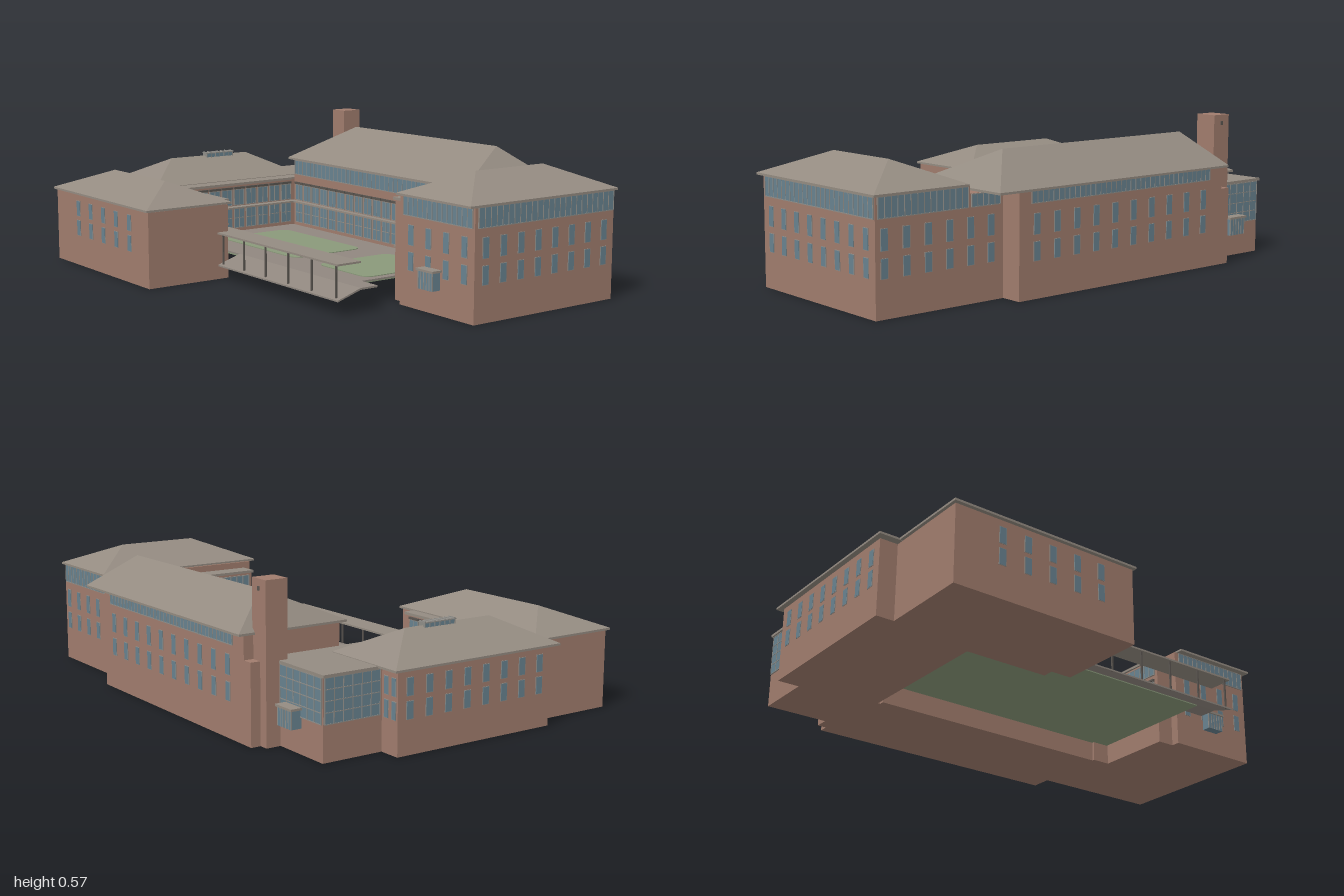
import * as THREE from 'three';

const mat = (name, color) => {
  const m = new THREE.MeshStandardMaterial({ color });
  m.name = name;
  return m;
};

export function createModel() {
  const root = new THREE.Group();
  root.name = 'courtyardBuilding';
  const brick = mat('brick', 0xa07c6d);
  const roofing = mat('roofing', 0x948b81);
  const glass = mat('glass', 0x68828f);
  const frame = mat('windowFrame', 0x8f8d88);
  const trim = mat('darkTrim', 0x5a5550);
  const lawn = mat('lawn', 0x8a997a);
  const paving = mat('paving', 0x90877f);

  const add = (name, geo, m, parent = root) => {
    const mesh = new THREE.Mesh(geo, m);
    mesh.name = name;
    parent.add(mesh);
    return mesh;
  };

  // Box given by its limits on each axis
  const box = (name, m, x0, x1, y0, y1, z0, z1, parent) => {
    const b = add(name, new THREE.BoxGeometry(x1 - x0, y1 - y0, z1 - z0), m, parent);
    b.position.set((x0 + x1) / 2, (y0 + y1) / 2, (z0 + z1) / 2);
    return b;
  };

  // Thin plate on a wall: axis is the wall's normal, u runs along the wall
  const plate = (name, m, axis, at, u0, u1, y0, y1, t, parent) =>
    axis === 'x'
      ? box(name, m, at - t, at + t, y0, y1, u0, u1, parent)
      : box(name, m, u0, u1, y0, y1, at - t, at + t, parent);

  // Hipped roof over a rectangle, with a fascia below; ridge is [x,z] to [x,z]
  const hipRoof = (name, x0, x1, z0, z1, y, top, ra, rb) => {
    const A = [x0, y, z0], B = [x1, y, z0], C = [x1, y, z1], D = [x0, y, z1];
    const P = [ra[0], top, ra[1]], Q = [rb[0], top, rb[1]];
    const alongX = ra[1] === rb[1];
    const faces = alongX
      ? [[D, C, Q], [D, Q, P], [B, A, P], [B, P, Q], [A, D, P], [C, B, Q]]
      : [[C, B, P], [C, P, Q], [A, D, Q], [A, Q, P], [B, A, P], [D, C, Q]];
    const g = new THREE.BufferGeometry();
    g.setAttribute('position', new THREE.Float32BufferAttribute(faces.flat(2), 3));
    g.computeVertexNormals();
    add(name, g, roofing);
    box(name + 'Eave', roofing, x0, x1, y - 0.008, y, z0, z1);
  };

  // Rows of separate framed windows centred between first and last
  const windows = (name, axis, at, first, last, n, rows, w = 0.026) => {
    const group = new THREE.Group();
    group.name = name;
    root.add(group);
    for (let i = 0; i < n; i++) {
      const c = first + ((last - first) * i) / (n - 1);
      for (const [y0, y1] of rows) {
        plate('windowFrame', frame, axis, at, c - w / 2 - 0.002, c + w / 2 + 0.002, y0 - 0.002, y1 + 0.002, 0.002, group);
        plate('windowPane', glass, axis, at, c - w / 2, c + w / 2, y0, y1, 0.003, group);
      }
    }
  };

  // Continuous glazing with mullions and transoms
  const glazing = (name, axis, at, u0, u1, y0, y1, cols, rows = 1) => {
    const group = new THREE.Group();
    group.name = name;
    root.add(group);
    plate('glazingPane', glass, axis, at, u0, u1, y0, y1, 0.003, group);
    for (let i = 0; i <= cols; i++) {
      const c = u0 + ((u1 - u0) * i) / cols;
      plate('mullion', frame, axis, at, c - 0.0015, c + 0.0015, y0, y1, 0.0045, group);
    }
    for (let j = 0; j <= rows; j++) {
      const y = y0 + ((y1 - y0) * j) / rows;
      plate('transom', frame, axis, at, u0, u1, y - 0.0015, y + 0.0015, 0.0045, group);
    }
  };

  // Courtyard wall: bays of tall glazing on two floors with dark lintels
  const courtWall = (name, axis, at, u0, u1, bays) => {
    const step = (u1 - u0) / bays;
    for (let i = 0; i < bays; i++) {
      const a = u0 + step * i + 0.006, b = u0 + step * (i + 1) - 0.006;
      glazing(name + 'Lower', axis, at, a, b, 0.105, 0.19, 2, 2);
      glazing(name + 'Upper', axis, at, a, b, 0.203, 0.27, 2);
      plate(name + 'Lintel', trim, axis, at, a - 0.003, b + 0.003, 0.272, 0.281, 0.008);
    }
  };

  const twoRows = [[0.135, 0.2], [0.227, 0.298]];
  const lowRows = [[0.125, 0.185], [0.205, 0.265]];

  // Front block
  box('frontBlockWalls', brick, -0.09, 0.59, 0, 0.405, 0.6, 0.99);
  hipRoof('frontBlockRoof', -0.12, 0.6, 0.61, 1, 0.412, 0.495, [0.08, 0.805], [0.41, 0.805]);
  windows('frontWindows', 'z', 0.99, -0.04, 0.54, 8, twoRows);
  windows('frontBlockLeftWindows', 'x', 0.59, 0.51, 0.955, 6, twoRows);
  windows('frontBlockRightWindows', 'x', -0.09, 0.66, 0.94, 4, twoRows);
  glazing('frontClerestory', 'z', 0.99, -0.075, 0.585, 0.332, 0.403, 24);
  glazing('frontBlockLeftClerestory', 'x', 0.59, 0.61, 0.98, 0.332, 0.403, 14);
  glazing('frontBlockRightClerestory', 'x', -0.09, 0.62, 0.98, 0.332, 0.403, 14);

  // Link between the front block and the long wing
  box('linkWalls', brick, 0.27, 0.59, 0, 0.378, 0.455, 0.6);
  box('linkBay', brick, -0.055, 0.27, 0, 0.37, 0.53, 0.6);
  box('linkBayRoof', roofing, -0.06, 0.26, 0.37, 0.38, 0.522, 0.61);
  glazing('linkClerestory', 'x', 0.59, 0.47, 0.595, 0.332, 0.376, 5);
  courtWall('linkCourt', 'z', 0.529, -0.04, 0.26, 6);
  glazing('linkCourtClerestory', 'z', 0.529, -0.04, 0.26, 0.3, 0.36, 10);

  // Long wing
  box('longWingWalls', brick, 0.28, 0.675, 0, 0.382, -0.57, 0.455);
  box('longWingEnd', brick, 0.3, 0.675, 0, 0.295, -0.612, -0.57);
  hipRoof('longWingRoof', 0.255, 0.7, -0.58, 0.56, 0.388, 0.512, [0.545, -0.47], [0.545, 0.42]);
  windows('longWingWindows', 'x', 0.675, -0.467, 0.375, 10, twoRows);
  glazing('longWingClerestory', 'x', 0.675, -0.5, 0.4, 0.335, 0.379, 36);
  courtWall('longWingCourt', 'x', 0.28, -0.56, 0.52, 18);
  glazing('longWingCourtClerestory', 'x', 0.28, -0.56, 0.45, 0.315, 0.375, 36);

  // Chimney
  box('chimney', brick, 0.55, 0.637, 0, 0.575, -0.648, -0.565);
  box('chimneyVent', trim, 0.634, 0.64, 0.535, 0.55, -0.612, -0.6);

  // Rear block with its flat-roofed glazed corner
  box('rearBlockWalls', brick, -0.34, 0.34, 0, 0.292, -0.98, -0.58);
  box('rearCornerWalls', brick, 0.34, 0.58, 0, 0.288, -0.895, -0.58);
  hipRoof('rearBlockRoof', -0.37, 0.365, -1, -0.645, 0.3, 0.392, [-0.19, -0.823], [0.19, -0.823]);
  box('rearCornerRoof', roofing, 0.26, 0.585, 0.288, 0.298, -0.905, -0.58);
  box('rearFlatRoof', roofing, -0.33, 0.27, 0.288, 0.298, -0.7, -0.575);
  windows('rearWindows', 'z', -0.98, -0.29, 0.29, 8, lowRows);
  windows('rearEndWindows', 'x', 0.34, -0.96, -0.92, 2, lowRows, 0.02);
  glazing('cornerSideGlazing', 'x', 0.58, -0.89, -0.65, 0.13, 0.286, 6, 4);
  glazing('cornerRearGlazing', 'z', -0.895, 0.35, 0.575, 0.13, 0.286, 6, 4);
  courtWall('rearCourt', 'z', -0.58, -0.28, 0.27, 9);

  // Roof light on the rear ridge
  box('roofLight', glass, -0.02, 0.112, 0.37, 0.4, -0.836, -0.808);
  box('roofLightCap', frame, -0.024, 0.116, 0.4, 0.404, -0.84, -0.804);
  for (let i = 0; i <= 6; i++) {
    const x = -0.02 + i * 0.022;
    box('roofLightBar', frame, x - 0.0015, x + 0.0015, 0.37, 0.407, -0.838, -0.806);
  }

  // Side wing and its connector to the rear block
  box('sideWingWalls', brick, -0.69, -0.335, 0, 0.292, -0.91, -0.155);
  hipRoof('sideWingRoof', -0.702, -0.325, -0.92, -0.145, 0.302, 0.378, [-0.513, -0.735], [-0.513, -0.33]);
  windows('sideWingWindows', 'x', -0.69, -0.72, -0.3, 5, lowRows);
  box('connectorWalls', brick, -0.34, -0.292, 0, 0.288, -0.6, -0.24);
  box('connectorRoof', roofing, -0.34, -0.28, 0.288, 0.298, -0.66, -0.232);
  courtWall('connectorCourt', 'x', -0.292, -0.57, -0.25, 5);

  // Balcony ledges around the court
  box('rearLedge', roofing, -0.29, 0.28, 0.192, 0.199, -0.58, -0.545);
  box('connectorLedge', roofing, -0.292, -0.275, 0.192, 0.199, -0.58, -0.24);
  box('longWingLedge', roofing, 0.258, 0.28, 0.192, 0.199, -0.57, 0.525);
  box('linkLedge', roofing, -0.05, 0.28, 0.192, 0.199, 0.515, 0.53);

  // Court paving, laid over a soil bed, with two rounded lawns
  box('courtBed', lawn, -0.285, 0.28, 0.079, 0.084, -0.58, 0.525);
  box('courtPaving', paving, -0.285, 0.28, 0.084, 0.09, -0.58, 0.53);
  box('courtLanding', paving, -0.285, -0.21, 0.083, 0.09, 0.525, 0.62);
  const lawnPatch = (x0, x1, z0, z1) => {
    const s = new THREE.Shape(), r = 0.045;
    s.moveTo(x0 + r, -z1).lineTo(x1 - r, -z1).quadraticCurveTo(x1, -z1, x1, -z1 + r);
    s.lineTo(x1, -z0 - r).quadraticCurveTo(x1, -z0, x1 - r, -z0);
    s.lineTo(x0 + r, -z0).quadraticCurveTo(x0, -z0, x0, -z0 - r);
    s.lineTo(x0, -z1 + r).quadraticCurveTo(x0, -z1, x0 + r, -z1);
    const g = new THREE.ExtrudeGeometry(s, { depth: 0.004, bevelEnabled: false });
    add('lawnPatch', g.rotateX(-Math.PI / 2), lawn).position.y = 0.089;
  };
  lawnPatch(-0.165, 0.165, -0.475, 0.055);
  lawnPatch(-0.165, 0.18, 0.2, 0.5);

  // Bank sloping down beside the court
  const bank = new THREE.Shape();
  bank.moveTo(-0.385, 0.052).lineTo(-0.285, 0.083).lineTo(-0.285, 0.09).lineTo(-0.385, 0.058);
  const bankGeo = new THREE.ExtrudeGeometry(bank, { depth: 0.77, bevelEnabled: false });
  add('slopingBank', bankGeo, paving).position.z = -0.15;

  // Covered walkway
  box('walkwayRoof', roofing, -0.383, -0.28, 0.178, 0.185, -0.235, 0.615);
  for (let i = 0; i < 6; i++) {
    const z = -0.13 + i * 0.145;
    box('walkwayPost', trim, -0.376, -0.37, 0.056, 0.178, z - 0.003, z + 0.003);
  }

  // Door porches: a slab over a glazed lobby
  const porch = (x0, x1, z0, z1, outer) => {
    box('porchSlab', roofing, x0, x1, 0.155, 0.163, z0, z1);
    box('porchLobby', glass, x0 + 0.006, x1 - 0.006, 0.09, 0.155, z0 + 0.008, z1 - 0.008);
    for (let i = 0; i <= 5; i++) {
      const z = z0 + 0.008 + ((z1 - z0 - 0.016) * i) / 5;
      box('porchBar', frame, outer - 0.002, outer + 0.002, 0.09, 0.155, z - 0.002, z + 0.002);
    }
  };
  porch(0.57, 0.627, -0.78, -0.685, 0.62);
  porch(-0.133, -0.085, 0.735, 0.825, -0.126);

  return root;
}
